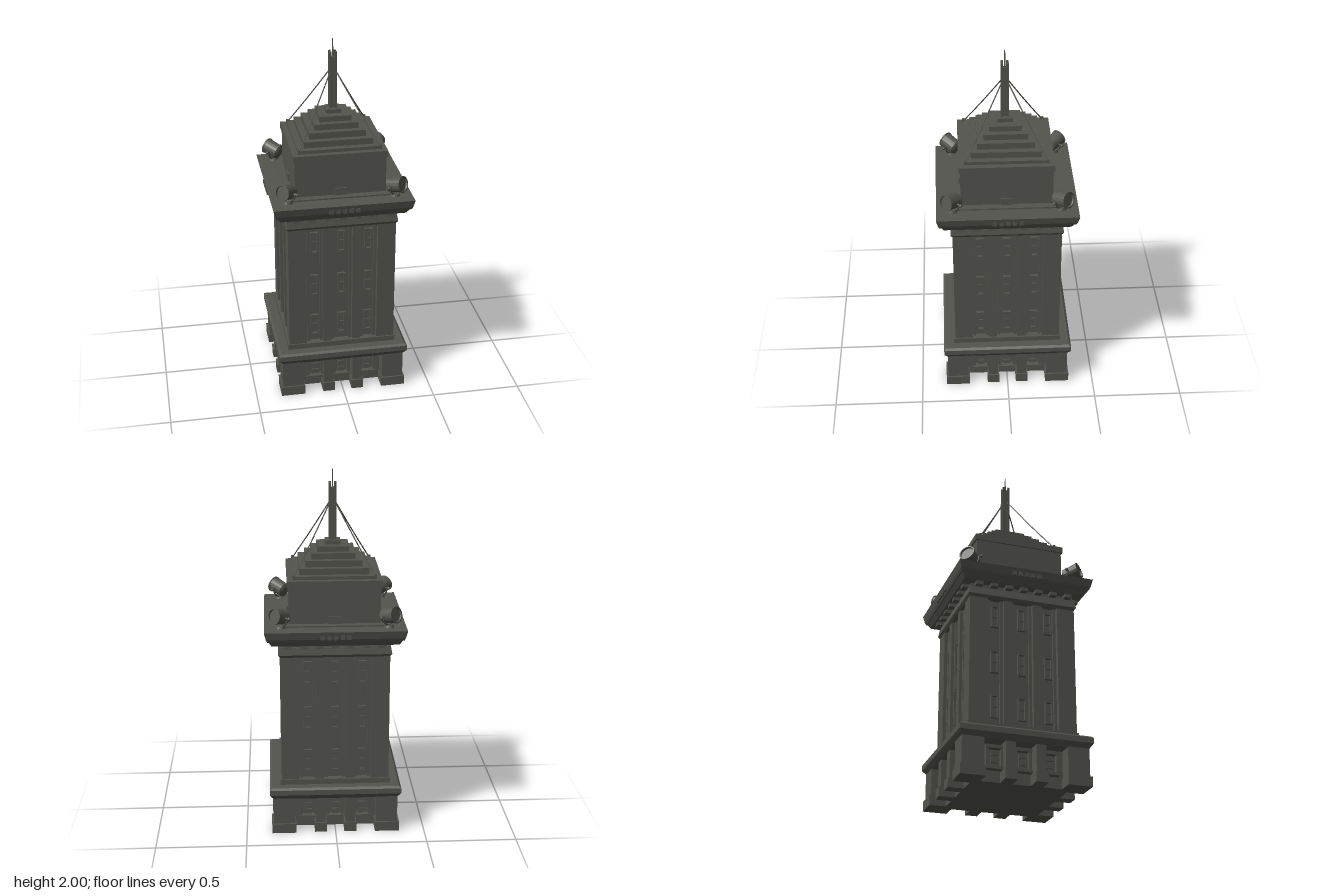
import * as THREE from 'three';

const stone = new THREE.MeshStandardMaterial({ color: 0x55554f });
stone.name = 'dark stone';
stone.flatShading = true;

export function createModel() {
  const tower = new THREE.Group();
  tower.name = 'tower';

  const add = (parent, name, geometry, x = 0, y = 0, z = 0) => {
    const mesh = new THREE.Mesh(geometry, stone);
    mesh.name = name;
    mesh.position.set(x, y, z);
    parent.add(mesh);
    return mesh;
  };
  // Box given by its low and high corners
  const block = (parent, name, x0, x1, y0, y1, z0, z1) =>
    add(parent, name, new THREE.BoxGeometry(x1 - x0, y1 - y0, z1 - z0),
      (x0 + x1) / 2, (y0 + y1) / 2, (z0 + z1) / 2);
  // Square tier with bottom and top half widths
  const tier = (name, y0, y1, bottom, top = bottom) => {
    const g = new THREE.CylinderGeometry(top * Math.SQRT2, bottom * Math.SQRT2, y1 - y0, 4);
    g.rotateY(Math.PI / 4);
    return add(tower, name, g, 0, (y0 + y1) / 2, 0);
  };

  // Main body, cornices and upper block
  tier('baseCore', 0, 0.22, 0.265);
  tier('baseCorniceLower', 0.205, 0.225, 0.345, 0.36);
  tier('baseCornice', 0.225, 0.235, 0.36, 0.367);
  tier('baseCorniceUpper', 0.235, 0.265, 0.367);
  tier('baseCorniceTop', 0.265, 0.275, 0.367, 0.355);
  tier('shaftPlinth', 0.27, 0.305, 0.308);
  tier('shaftCore', 0.27, 1.05, 0.268);
  tier('shaftCap', 1.025, 1.04, 0.3, 0.31);
  tier('shaftFrieze', 1.04, 1.085, 0.31, 0.302);
  tier('shaftNeck', 1.085, 1.13, 0.295);
  tier('ledgeSoffit', 1.105, 1.135, 0.345, 0.362);
  tier('ledgeMiddle', 1.135, 1.15, 0.368, 0.375);
  tier('ledge', 1.15, 1.192, 0.375, 0.385);
  tier('ledgeStep', 1.19, 1.2, 0.29);
  tier('upperBlock', 1.19, 1.405, 0.25);
  tier('upperBlockCap', 1.405, 1.44, 0.258);

  // Stepped roof
  [[1.44, 1.458, 0.226], [1.458, 1.492, 0.19], [1.492, 1.527, 0.155],
    [1.527, 1.56, 0.12], [1.56, 1.59, 0.087], [1.59, 1.612, 0.042]]
    .forEach(([y0, y1, half]) => tier('roofStep', y0, y1, half));

  // The four matching faces
  for (let i = 0; i < 4; i++) {
    const face = new THREE.Group();
    face.name = 'towerFace';
    face.rotation.y = i * Math.PI / 2;
    tower.add(face);

    // Corner piers, one per turn
    block(face, 'baseCornerPier', 0.228, 0.348, 0, 0.21, 0.228, 0.348);
    block(face, 'baseCornerFoot', 0.222, 0.358, 0, 0.055, 0.222, 0.358);
    block(face, 'shaftCornerPier', 0.2, 0.3, 0.3, 1.03, 0.2, 0.3);

    for (const s of [-1, 1]) {
      const cx = s * 0.083;
      block(face, 'basePier', cx - 0.027, cx + 0.027, 0, 0.21, 0.25, 0.342);
      block(face, 'basePierFoot', cx - 0.034, cx + 0.034, 0, 0.055, 0.25, 0.352);
      block(face, 'shaftPier', cx - 0.024, cx + 0.024, 0.3, 1.03, 0.25, 0.298);
      for (const x of [0.048, 0.115, 0.188])
        block(face, 'shaftRib', s * x - 0.008, s * x + 0.008, 0.3, 1.03, 0.25, 0.282);
    }

    for (const cx of [-0.152, 0, 0.152]) {
      // Ground floor window with frame and bars
      block(face, 'baseWindowSill', cx - 0.05, cx + 0.05, 0.062, 0.077, 0.26, 0.3);
      block(face, 'baseWindowHead', cx - 0.05, cx + 0.05, 0.175, 0.19, 0.26, 0.295);
      for (const s of [-1, 1])
        block(face, 'baseWindowJamb', cx + s * 0.041 - 0.008, cx + s * 0.041 + 0.008, 0.077, 0.175, 0.26, 0.29);
      block(face, 'baseWindowPanel', cx - 0.02, cx + 0.02, 0.077, 0.165, 0.26, 0.275);
      for (const y of [0.105, 0.145])
        block(face, 'baseWindowBar', cx - 0.02, cx + 0.02, y - 0.005, y + 0.005, 0.26, 0.283);

      // Tall slot windows of the shaft
      for (const y of [0.41, 0.665, 0.93]) {
        for (const s of [-1, 1])
          block(face, 'slotWindowJamb', cx + s * 0.018 - 0.004, cx + s * 0.018 + 0.004, y - 0.062, y + 0.062, 0.26, 0.283);
        for (const s of [-1, 1])
          block(face, 'slotWindowEnd', cx - 0.022, cx + 0.022, y + s * 0.06 - 0.004, y + s * 0.06 + 0.004, 0.26, 0.283);
        block(face, 'slotWindowBar', cx - 0.014, cx + 0.014, y - 0.004, y + 0.004, 0.26, 0.275);
      }
    }

    // Brackets under the ledge and small blocks on its band
    for (let k = -3; k <= 3; k++)
      block(face, 'ledgeBracket', k * 0.085 - 0.02, k * 0.085 + 0.02, 1.085, 1.12, 0.28, 0.335);
    for (let k = -2; k <= 2; k++)
      block(face, 'ledgeOrnament', k * 0.036 - 0.011, k * 0.036 + 0.011, 1.148, 1.172, 0.36, 0.383);

    // Upper door
    block(face, 'upperDoor', -0.034, 0.034, 1.19, 1.24, 0.24, 0.258);

    // Stay cable from roof corner to mast
    const cable = new THREE.QuadraticBezierCurve3(
      new THREE.Vector3(0.222, 1.45, 0.222),
      new THREE.Vector3(0.125, 1.615, 0.125),
      new THREE.Vector3(0.01, 1.83, 0.01));
    add(face, 'stayCable', new THREE.TubeGeometry(cable, 12, 0.0035, 5));
    block(face, 'cableAnchor', 0.214, 0.228, 1.44, 1.465, 0.214, 0.228);

    // Searchlight aimed outwards along the diagonal
    const light = new THREE.Group();
    light.name = 'searchlight';
    light.position.set(0.292, 1.19, 0.296);
    light.rotation.y = Math.PI / 4;
    face.add(light);
    add(light, 'lightFoot', new THREE.CylinderGeometry(0.022, 0.028, 0.014, 12), 0, 0.008, 0);
    const yoke = new THREE.TorusGeometry(0.05, 0.005, 6, 14, Math.PI);
    yoke.rotateZ(Math.PI);
    add(light, 'lightYoke', yoke, 0, 0.064, 0);
    const head = new THREE.Group();
    head.name = 'lightHead';
    head.position.y = 0.066;
    head.rotation.x = -0.25;
    light.add(head);
    const drum = new THREE.LatheGeometry([[0, -0.048], [0.025, -0.046], [0.04, -0.036], [0.043, 0.045],
      [0.046, 0.046], [0.046, 0.052], [0.039, 0.052], [0.037, 0.042], [0, 0.042]]
      .map(([r, y]) => new THREE.Vector2(r, y)), 18);
    drum.rotateX(Math.PI / 2);
    add(head, 'lightDrum', drum);
    for (const s of [-1, 1]) {
      const pin = new THREE.CylinderGeometry(0.005, 0.005, 0.026, 6);
      pin.rotateZ(Math.PI / 2);
      add(head, 'lightPin', pin, s * 0.05, 0, 0);
      add(head, 'lightKnob', new THREE.SphereGeometry(0.009, 8, 6), s * 0.064, 0, 0);
    }
  }

  // Mast with a cross section and a needle tip
  block(tower, 'mastCore', -0.012, 0.012, 1.61, 1.9, -0.012, 0.012);
  for (const sx of [-1, 1])
    for (const sz of [-1, 1])
      block(tower, 'mastCorner', sx * 0.015 - 0.006, sx * 0.015 + 0.006, 1.61, 1.93,
        sz * 0.015 - 0.006, sz * 0.015 + 0.006);
  add(tower, 'mastNeedle', new THREE.CylinderGeometry(0.0025, 0.005, 0.12, 6), 0, 1.94, 0);

  return tower;
}
